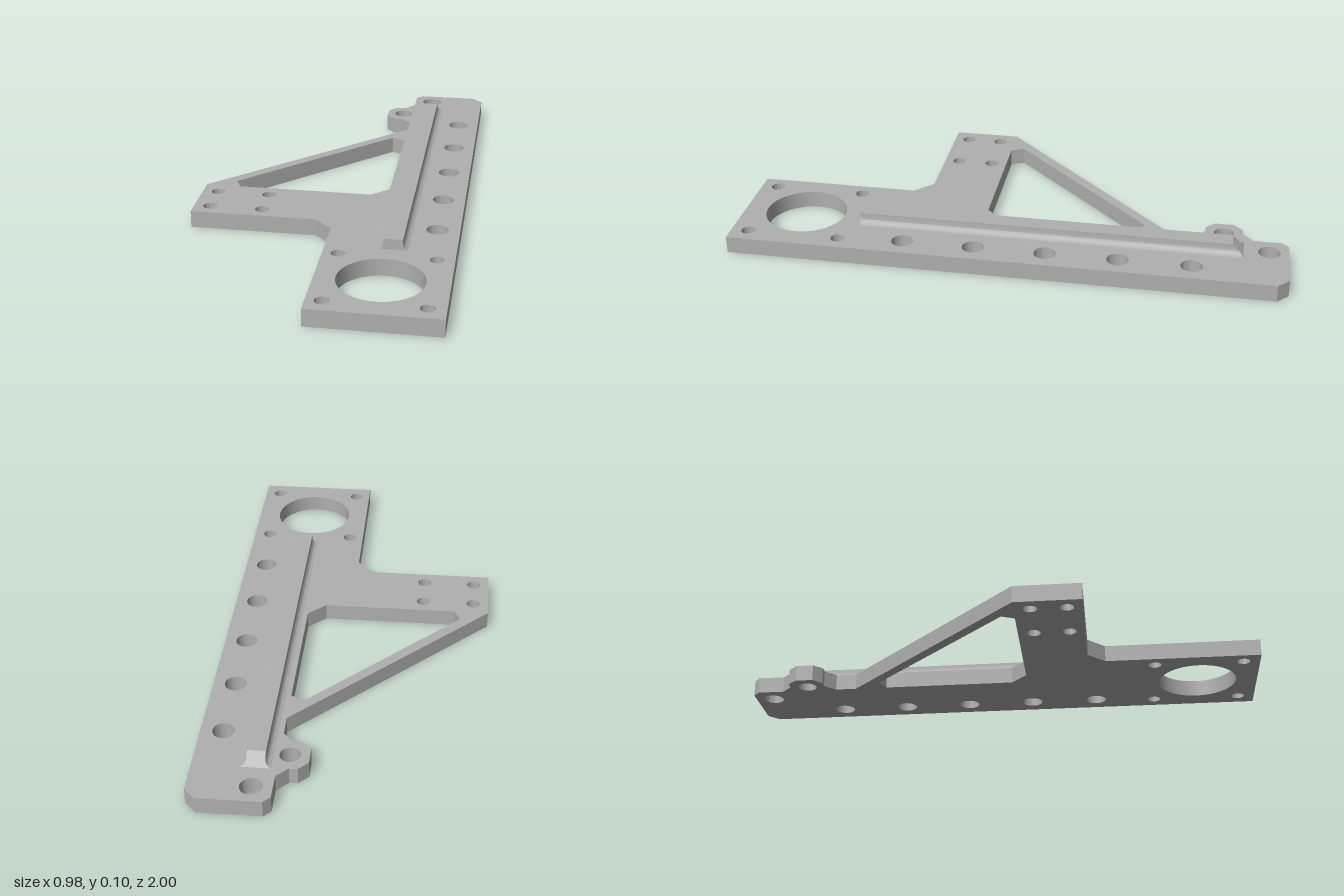
import * as THREE from 'three';
import { toCreasedNormals } from 'three/addons/utils/BufferGeometryUtils.js';

const THICK = 0.063;   // plate thickness
const RAIL_TOP = 0.103;

// Plan points are [x, z]; the shape's y axis is -z
const plan = (pts) => pts.map(([x, z]) => new THREE.Vector2(x, -z));

function roundHole(x, z, r) {
  const path = new THREE.Path();
  path.absarc(x, -z, r, 0, Math.PI * 2, true);
  return path;
}

function createPlate(material) {
  const shape = new THREE.Shape(plan([
    // side arm and motor end
    [-0.49, 0.105], [-0.49, 0.35], [-0.03, 0.35], [0.035, 0.415], [0.035, 1], [0.487, 1],
    // chamfered back end
    [0.487, -0.96], [0.447, -1], [0.225, -1], [0.2, -0.975],
    // small ear
    [0.2, -0.875], [0.16, -0.835], [0.13, -0.835], [0.097, -0.8], [0.097, -0.733],
    [0.13, -0.7], [0.16, -0.7], [0.2, -0.66], [0.2, -0.58],
  ]));

  // triangular window behind the diagonal brace
  shape.holes.push(new THREE.Path(plan([
    [0.15, -0.478], [0.2, -0.457], [0.2, 0.045], [0.135, 0.105], [-0.363, 0.105], [-0.384, 0.057],
  ])));

  // large bore, end hole and ear hole
  shape.holes.push(roundHole(0.257, 0.77, 0.149), roundHole(0.272, -0.93, 0.039), roundHole(0.164, -0.767, 0.036));

  // row of holes along the edge
  for (let i = 0; i < 5; i++) shape.holes.push(roundHole(0.407, -0.664 + i * 0.258, 0.039));

  // four screw holes in the arm and four around the bore
  for (const x of [-0.432, -0.238]) for (const z of [0.163, 0.293]) shape.holes.push(roundHole(x, z, 0.025));
  for (const x of [0.09, 0.426]) for (const z of [0.602, 0.937]) shape.holes.push(roundHole(x, z, 0.025));

  const geo = new THREE.ExtrudeGeometry(shape, { depth: THICK, bevelEnabled: false, curveSegments: 24 });
  geo.rotateX(-Math.PI / 2);
  const mesh = new THREE.Mesh(toCreasedNormals(geo, 0.5), material);
  mesh.name = 'plate';
  return mesh;
}

function createRail(material) {
  const half = 0.0325, r = 0.024, front = 0.548, back = -0.8;
  // section with concave fillets at the foot
  const s = new THREE.Shape();
  s.moveTo(-half - r, THICK - 0.002);
  s.lineTo(half + r, THICK - 0.002);
  s.lineTo(half + r, THICK);
  s.absarc(half + r, THICK + r, r, -Math.PI / 2, -Math.PI, true);
  s.lineTo(half, RAIL_TOP);
  s.lineTo(-half, RAIL_TOP);
  s.absarc(-half - r, THICK + r, r, 0, -Math.PI / 2, true);
  s.closePath();

  const geo = new THREE.ExtrudeGeometry(s, { depth: front - back, bevelEnabled: false, curveSegments: 8 });
  geo.translate(0.272, 0, back);
  // slope the back end down to the plate at 45 degrees
  const p = geo.attributes.position;
  for (let i = 0; i < p.count; i++) {
    if (p.getZ(i) < back + 0.01) p.setZ(i, back - (RAIL_TOP - p.getY(i)));
  }
  const mesh = new THREE.Mesh(toCreasedNormals(geo, 0.5), material);
  mesh.name = 'stiffeningRail';
  return mesh;
}

export function createModel() {
  const grey = new THREE.MeshStandardMaterial({ color: 0xb0b0b0 });
  grey.name = 'grey';
  const group = new THREE.Group();
  group.name = 'mountingBracket';
  group.add(createPlate(grey), createRail(grey));
  return group;
}
